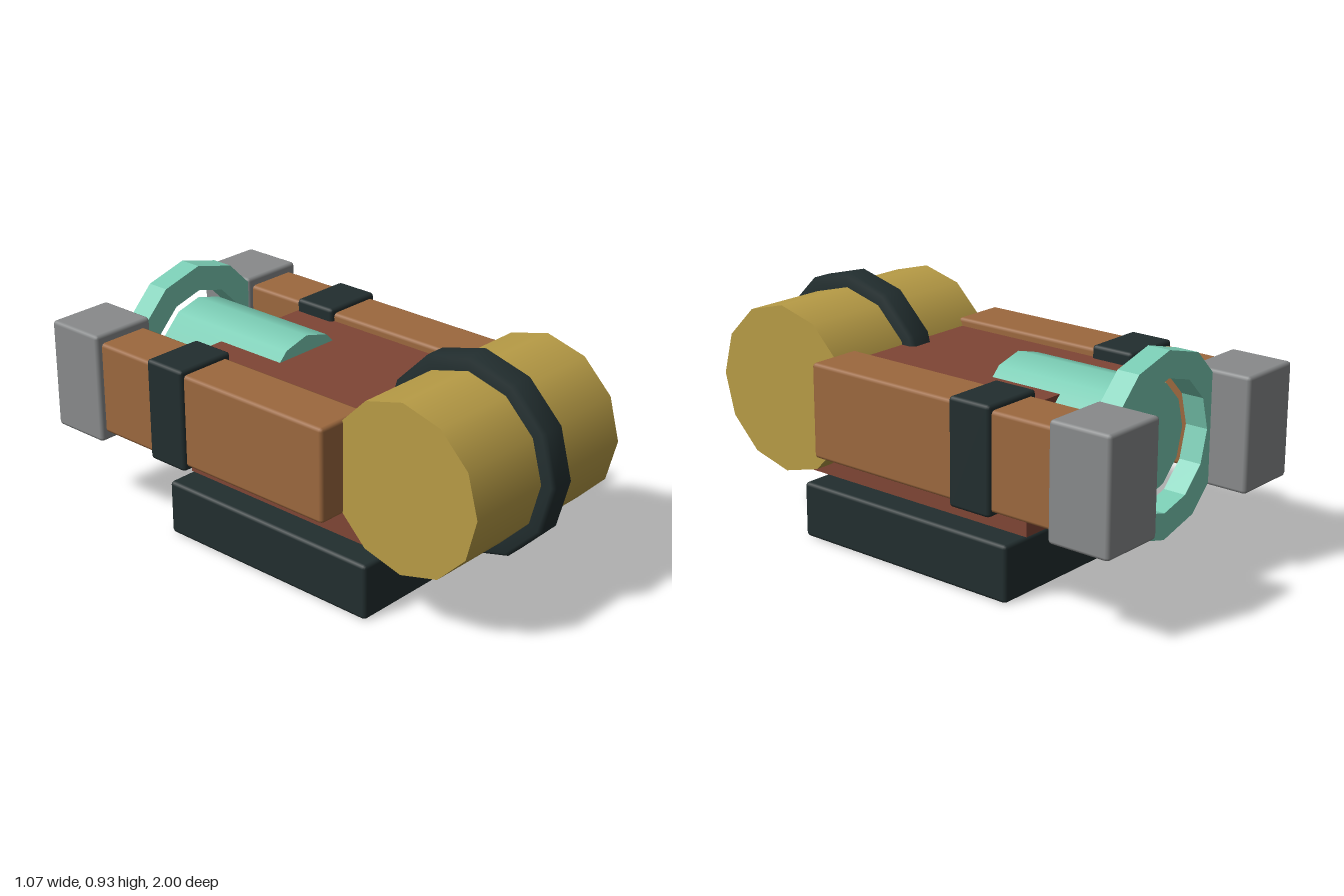
import * as THREE from 'three';
import { RoundedBoxGeometry } from 'three/addons/geometries/RoundedBoxGeometry.js';

const material = (name, color) => {
  const m = new THREE.MeshStandardMaterial({ color });
  m.name = name;
  return m;
};

export function createModel() {
  const group = new THREE.Group();
  const brass = material('brass', 0xb89c46);
  const dark = material('dark iron', 0x222e2f);
  const copper = material('copper', 0x9c683e);
  const red = material('red brown', 0x7f4535);
  const steel = material('steel', 0x888a8b);
  const mint = material('mint', 0x7accb4);

  const add = (name, geometry, mat, x = 0, y = 0, z = 0) => {
    const mesh = new THREE.Mesh(geometry, mat);
    mesh.name = name;
    mesh.position.set(x, y, z);
    group.add(mesh);
    return mesh;
  };
  // Softly bevelled box given by its ranges
  const block = (name, mat, [x0, x1], [y0, y1], [z0, z1], bevel = 0.014) =>
    add(name, new RoundedBoxGeometry(x1 - x0, y1 - y0, z1 - z0, 1, bevel), mat,
      (x0 + x1) / 2, (y0 + y1) / 2, (z0 + z1) / 2);
  // Twelve-sided outline
  const outline = (target, r) => {
    const pts = [];
    for (let i = 0; i < 12; i++) {
      const a = (i * Math.PI) / 6;
      pts.push(new THREE.Vector2(r * Math.cos(a), r * Math.sin(a)));
    }
    return target.setFromPoints(pts);
  };

  // Base and body
  block('base', dark, [-0.435, 0.435], [0.003, 0.22], [-0.49, 0.49]);
  add('body', new THREE.BoxGeometry(0.64, 0.48, 1.07), red, 0, 0.46, 0.045);

  // Front drum lying across the model, with its band
  const drum = new THREE.CylinderGeometry(0.325, 0.325, 0.8, 12).rotateZ(Math.PI / 2);
  add('drum', drum, brass, 0, 0.55, 0.62);
  const bandProfile = [
    [0.31, -0.054], [0.366, -0.054], [0.38, -0.04],
    [0.38, 0.04], [0.366, 0.054], [0.31, 0.054],
  ].map(([r, h]) => new THREE.Vector2(r, h));
  const band = new THREE.LatheGeometry(bandProfile, 12).rotateZ(Math.PI / 2);
  add('drumBand', band, dark, 0, 0.55, 0.62);

  // Side arms with clamps and end weights
  for (const [side, s] of [['left', 1], ['right', -1]]) {
    const span = (a, b) => (s > 0 ? [a, b] : [-b, -a]);
    block(side + 'Arm', copper, span(0.29, 0.51), [0.367, 0.731], [-0.8, 0.357]);
    block(side + 'Clamp', dark, span(0.273, 0.525), [0.349, 0.75], [-0.49, -0.31]);
    block(side + 'EndBlock', steel, span(0.265, 0.535), [0.332, 0.765], [-1, -0.75]);
  }

  // Rear barrel and its open flange
  const barrel = new THREE.CylinderGeometry(0.215, 0.215, 0.575, 12).rotateX(Math.PI / 2);
  add('barrel', barrel, mint, 0, 0.55, -0.4725);
  const ring = outline(new THREE.Shape(), 0.345);
  ring.holes.push(outline(new THREE.Path(), 0.245));
  const flange = new THREE.ExtrudeGeometry(ring, { depth: 0.09, bevelEnabled: false });
  add('flange', flange, mint, 0, 0.55, -0.845);

  return group;
}
